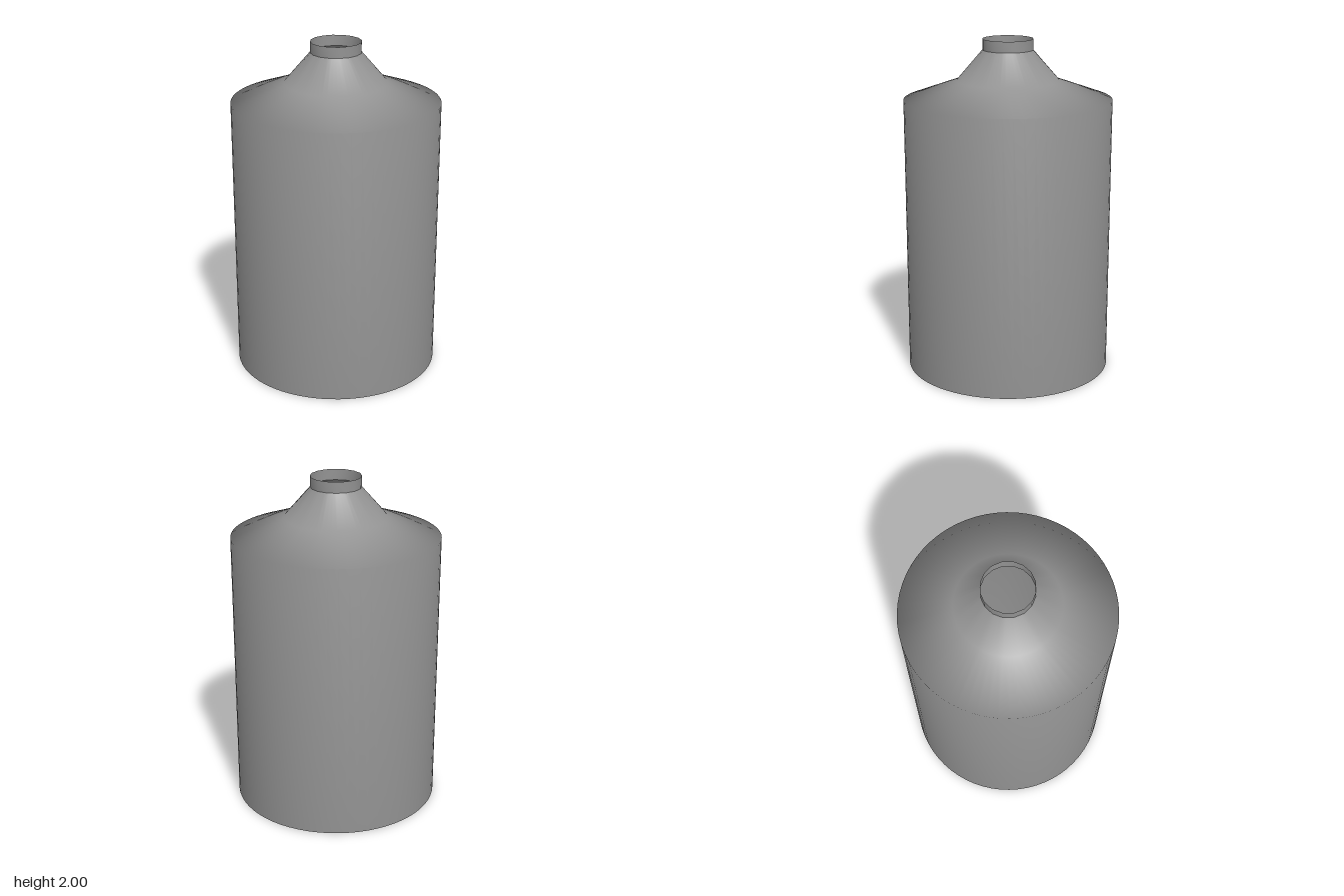
import * as THREE from 'three';
import { mergeVertices } from 'three/addons/utils/BufferGeometryUtils.js';

const NECK_SIDES = 16;
const NECK_R = 0.15, NECK_Y = 1.935;

const material = new THREE.MeshStandardMaterial({ color: 0x929292, side: THREE.DoubleSide });

// Revolve a profile of [radius, y] pairs into an open shell, smooth all round
function shell(name, profile, sides) {
  const points = profile.map(([r, y]) => new THREE.Vector2(r, y));
  let geometry = new THREE.LatheGeometry(points, sides);
  geometry.deleteAttribute('uv');
  geometry.deleteAttribute('normal');
  geometry = mergeVertices(geometry, 1e-5);

  // Fit the round shell's top ring to the straight sides of the neck
  const pos = geometry.attributes.position;
  const step = (2 * Math.PI) / NECK_SIDES;
  for (let i = 0; i < pos.count; i++) {
    if (Math.abs(pos.getY(i) - NECK_Y) > 1e-4) continue;
    const angle = Math.atan2(pos.getX(i), pos.getZ(i)) + 2 * Math.PI;
    const r = NECK_R * Math.cos(step / 2) / Math.cos((angle % step) - step / 2);
    pos.setX(i, r * Math.sin(angle));
    pos.setZ(i, r * Math.cos(angle));
  }
  geometry.computeVertexNormals(); // area weighted, so the tall wall stays evenly shaded

  const mesh = new THREE.Mesh(geometry, material);
  mesh.name = name;
  return mesh;
}

export function createModel() {
  const group = new THREE.Group();
  group.name = 'bottle';

  // Open-bottomed, very slightly flared wall, shallow shoulder and steep cone
  group.add(shell('body', [[0.612, 0], [0.616, 1.645], [0.303, 1.757], [NECK_R, NECK_Y]], 64));

  // Short open neck
  group.add(shell('neck', [[NECK_R, NECK_Y], [NECK_R, 2]], NECK_SIDES));

  return group;
}
